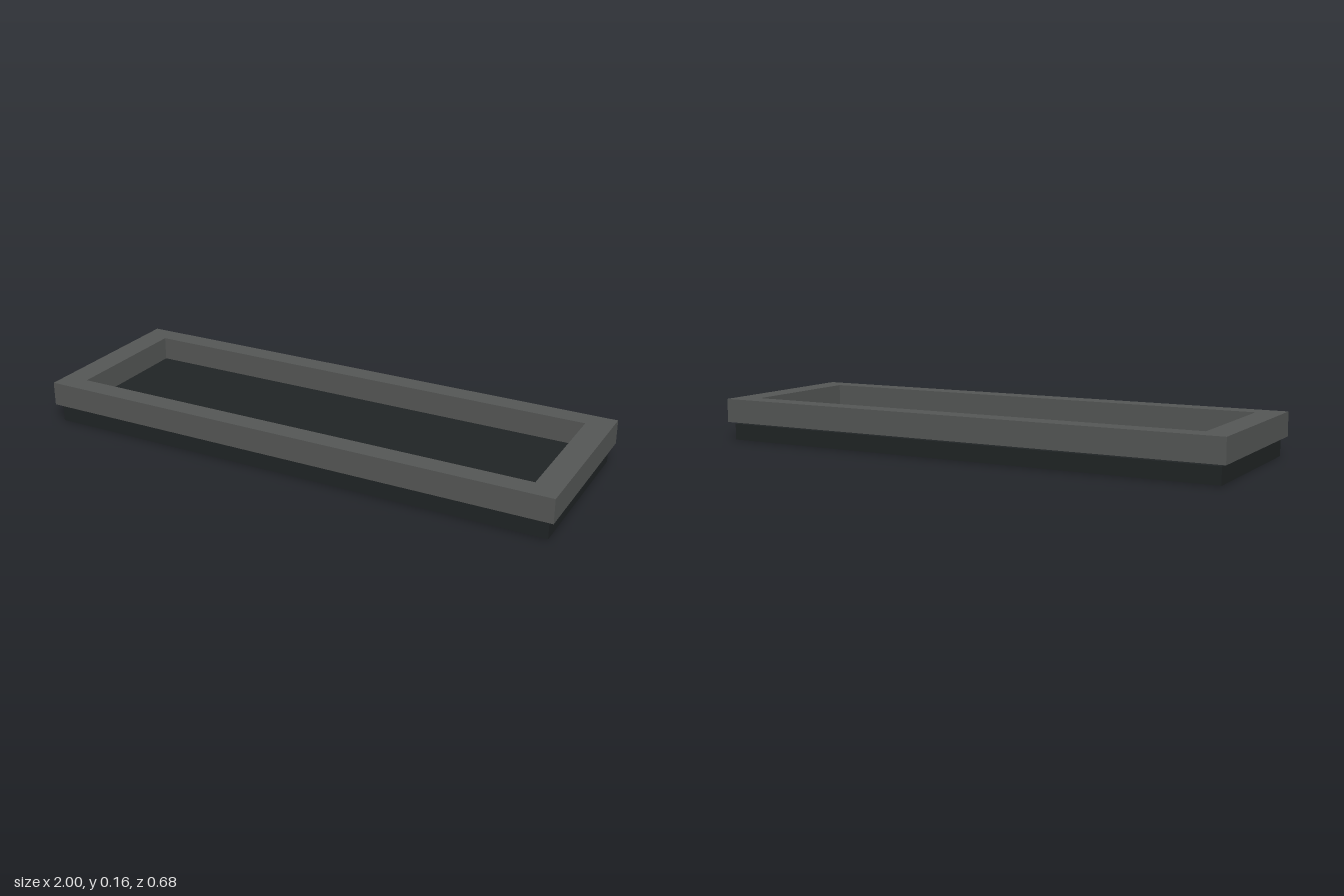
import * as THREE from 'three';

// Clockwise or counter-clockwise is handled by ExtrudeGeometry
function rectangle(target, halfX, halfZ) {
  target.moveTo(-halfX, -halfZ);
  target.lineTo(halfX, -halfZ);
  target.lineTo(halfX, halfZ);
  target.lineTo(-halfX, halfZ);
  target.closePath();
  return target;
}

export function createModel() {
  const model = new THREE.Group();
  model.name = 'framedTray';

  // Dark slab underneath
  const base = new THREE.Mesh(
    new THREE.BoxGeometry(1.96, 0.062, 0.64),
    new THREE.MeshStandardMaterial({ color: 0x202425 })
  );
  base.name = 'base';
  base.position.y = 0.031;
  model.add(base);

  // Open rectangular rim, floating just above the slab
  const outline = rectangle(new THREE.Shape(), 1, 0.34);
  outline.holes.push(rectangle(new THREE.Path(), 0.904, 0.26));
  const rimGeometry = new THREE.ExtrudeGeometry(outline, { depth: 0.09, bevelEnabled: false });
  rimGeometry.rotateX(-Math.PI / 2);
  const rim = new THREE.Mesh(rimGeometry, new THREE.MeshStandardMaterial({ color: 0x555756 }));
  rim.name = 'rim';
  rim.position.y = 0.07;
  model.add(rim);

  return model;
}
